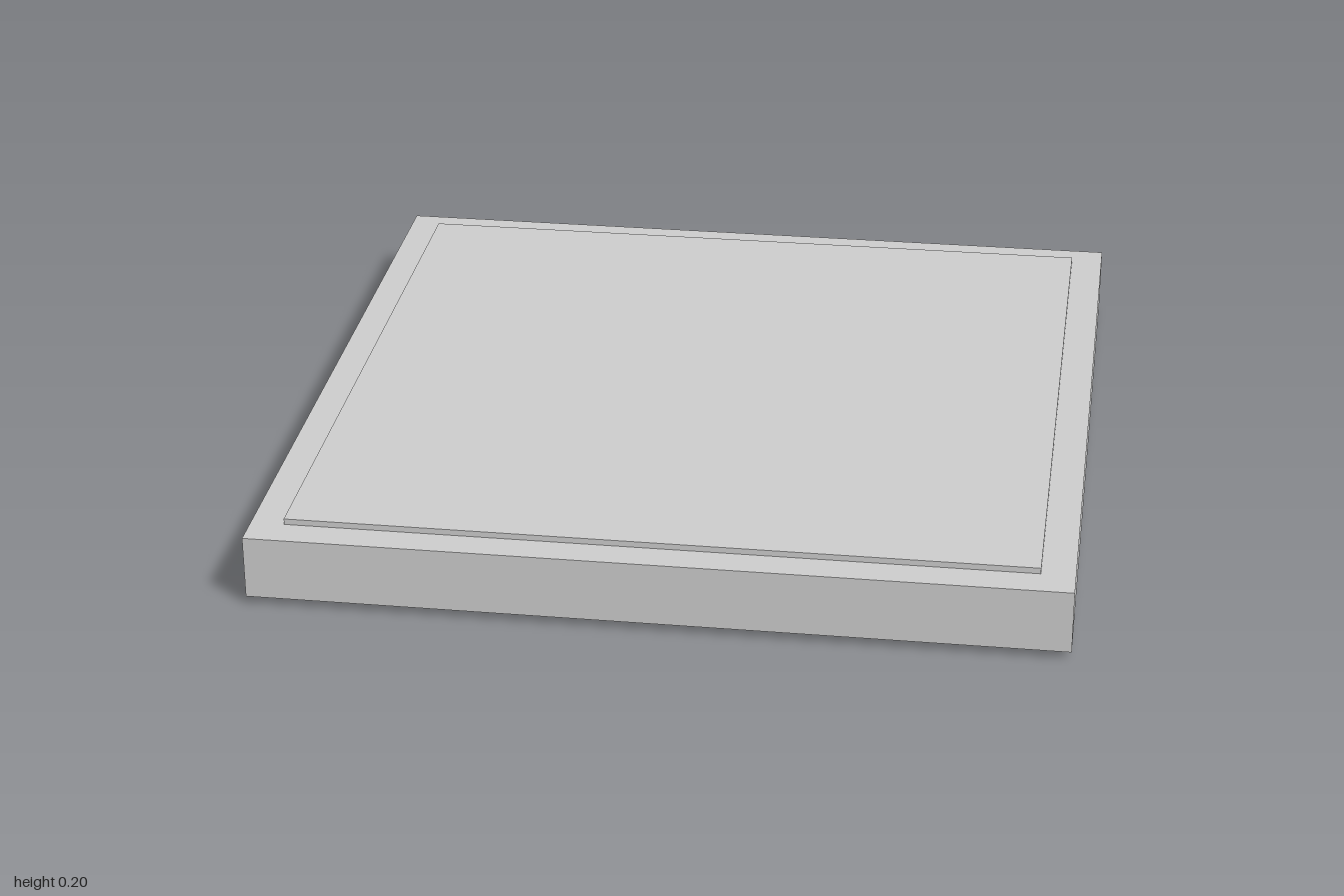
import * as THREE from 'three';

export function createModel() {
  const group = new THREE.Group();
  const material = new THREE.MeshStandardMaterial({ color: 0xcccccc, flatShading: true });

  function add(name, geometry, y) {
    const mesh = new THREE.Mesh(geometry, material);
    mesh.name = name;
    mesh.position.y = y;
    group.add(mesh);
    return mesh;
  }

  // Main square slab
  add('slab', new THREE.BoxGeometry(2, 0.16, 2), 0.1);

  // Slightly smaller panel standing proud above and below the slab
  add('insetPanel', new THREE.BoxGeometry(1.834, 0.187, 1.834), 0.1015);

  // Thin trapezoid pads under each edge: the long side faces outwards
  function pad(name, start, end, inner, outer, turn) {
    const bevel = 0.095;
    const shape = new THREE.Shape([
      new THREE.Vector2(start, outer),
      new THREE.Vector2(start + bevel, inner),
      new THREE.Vector2(end - bevel, inner),
      new THREE.Vector2(end, outer),
    ]);
    const geometry = new THREE.ExtrudeGeometry(shape, { depth: 0.02, bevelEnabled: false });
    geometry.rotateX(Math.PI / 2); // outline y becomes z, thickness goes down
    add(name, geometry, 0.02).rotation.y = turn;
  }
  pad('frontPad', -0.57, 0.615, 0.8, 0.955, 0);
  pad('leftPad', -0.62, 0.56, 0.79, 0.945, Math.PI / 2);
  pad('backPad', -0.615, 0.57, 0.79, 0.945, Math.PI);
  pad('rightPad', -0.56, 0.635, 0.815, 0.967, -Math.PI / 2);

  return group;
}
